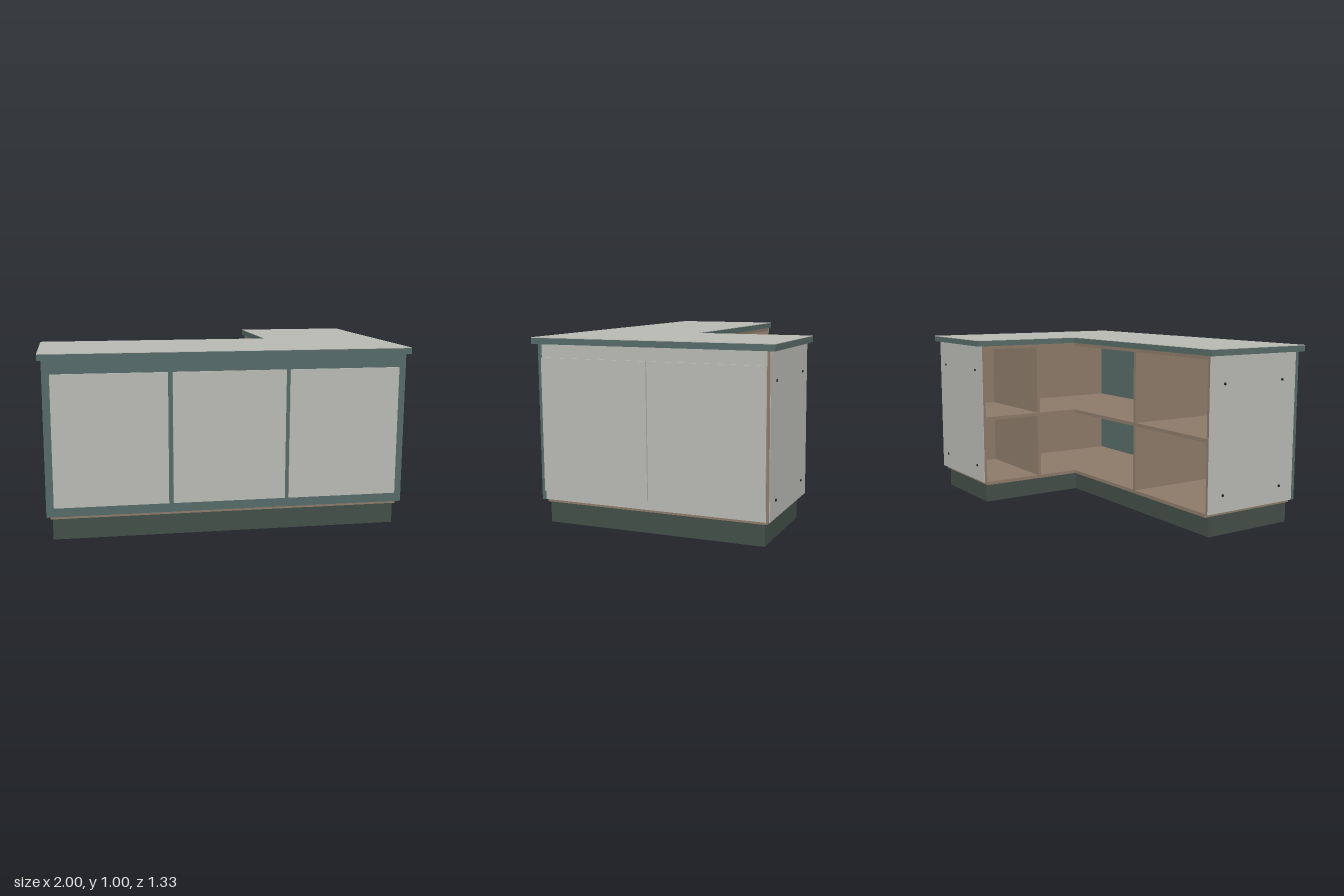
import * as THREE from 'three';

const mat = (name, color) => Object.assign(new THREE.MeshStandardMaterial({ color }), { name });

export function createModel() {
  const grey = mat('grey laminate', 0xb8b8b3);
  const teal = mat('teal trim', 0x566b67);
  const tan = mat('tan board', 0x8c7a69);
  const plinthMat = mat('dark plinth', 0x434e48);
  const screwMat = mat('screw', 0x222222);
  const group = new THREE.Group();

  const add = (name, geometry, material) => {
    const mesh = new THREE.Mesh(geometry, material);
    mesh.name = name;
    group.add(mesh);
    return mesh;
  };
  // Box given by its limits on each axis
  const box = (name, material, [x0, x1], [y0, y1], [z0, z1]) => {
    const g = new THREE.BoxGeometry(x1 - x0, y1 - y0, z1 - z0);
    g.translate((x0 + x1) / 2, (y0 + y1) / 2, (z0 + z1) / 2);
    return add(name, g, material);
  };
  // L-shaped slab with its notch at the back, on the -x side
  const lSlab = (name, material, [x0, x1], [y0, y1], [z0, z1], notchX, notchZ) => {
    const points = [[x0, z1], [x1, z1], [x1, z0], [notchX, z0], [notchX, notchZ], [x0, notchZ]];
    const shape = new THREE.Shape(points.map(([x, z]) => new THREE.Vector2(x, -z)));
    const g = new THREE.ExtrudeGeometry(shape, { depth: y1 - y0, bevelEnabled: false });
    g.rotateX(-Math.PI / 2).translate(0, y0, 0);
    return add(name, g, material);
  };

  // Plinth, floor, shelf and top board
  lSlab('plinth', plinthMat, [-0.948, 0.945], [0, 0.115], [-0.605, 0.61], 0.39, 0.045);
  lSlab('floorBoard', tan, [-0.96, 0.957], [0.115, 0.135], [-0.62, 0.62], 0.345, 0.01);
  lSlab('shelf', tan, [-0.96, 0.957], [0.515, 0.535], [-0.62, 0.62], 0.347, 0.012);
  lSlab('topBoard', tan, [-0.96, 0.957], [0.945, 0.965], [-0.62, 0.62], 0.345, 0.01);

  // Countertop
  lSlab('countertop', teal, [-1, 1], [0.965, 0.997], [-0.667, 0.667], 0.333, 0);
  lSlab('countertopSurface', grey, [-1, 1], [0.997, 1], [-0.667, 0.667], 0.333, 0);

  // Front board with three raised panels
  const wallY = [0.132, 0.965];
  box('frontBoard', teal, [-0.98, 0.98], wallY, [0.62, 0.64]);
  for (const [x0, x1] of [[-0.94, -0.33], [-0.305, 0.308], [0.33, 0.94]]) {
    box('frontPanel', grey, [x0, x1], [0.183, 0.892], [0.64, 0.65]);
  }

  // Long side wall with two doors
  box('sideWall', tan, [0.957, 0.972], wallY, [-0.62, 0.62]);
  box('sideWallFace', grey, [0.972, 0.976], wallY, [-0.62, 0.62]);
  for (const [z0, z1] of [[-0.62, -0.01], [0.013, 0.645]]) {
    box('sideDoor', grey, [0.976, 0.986], [0.182, 0.894], [z0, Math.min(z1, 0.62)]);
  }

  // End panels, faced in laminate on the outside
  box('backEndPanel', tan, [0.345, 0.976], wallY, [-0.636, -0.62]);
  box('backEndFace', grey, [0.345, 0.976], wallY, [-0.639, -0.636]);
  box('rightEndPanel', tan, [-0.976, -0.96], wallY, [0.01, 0.62]);
  box('rightEndFace', grey, [-0.979, -0.976], wallY, [0.01, 0.62]);

  // Upright dividers
  box('longDivider', tan, [-0.328, -0.308], [0.135, 0.945], [0.01, 0.62]);
  box('shortDivider', tan, [0.345, 0.957], [0.135, 0.945], [-0.265, -0.245]);

  // Screw heads at the corners of both end panels
  for (const y of [0.226, 0.817]) {
    for (const x of [0.44, 0.887]) {
      const g = new THREE.CylinderGeometry(0.007, 0.007, 0.006, 12).rotateX(Math.PI / 2);
      add('backScrew', g, screwMat).position.set(x, y, -0.641);
    }
    for (const z of [0.11, 0.52]) {
      const g = new THREE.CylinderGeometry(0.007, 0.007, 0.006, 12).rotateZ(Math.PI / 2);
      add('rightScrew', g, screwMat).position.set(-0.981, y, z);
    }
  }
  return group;
}
